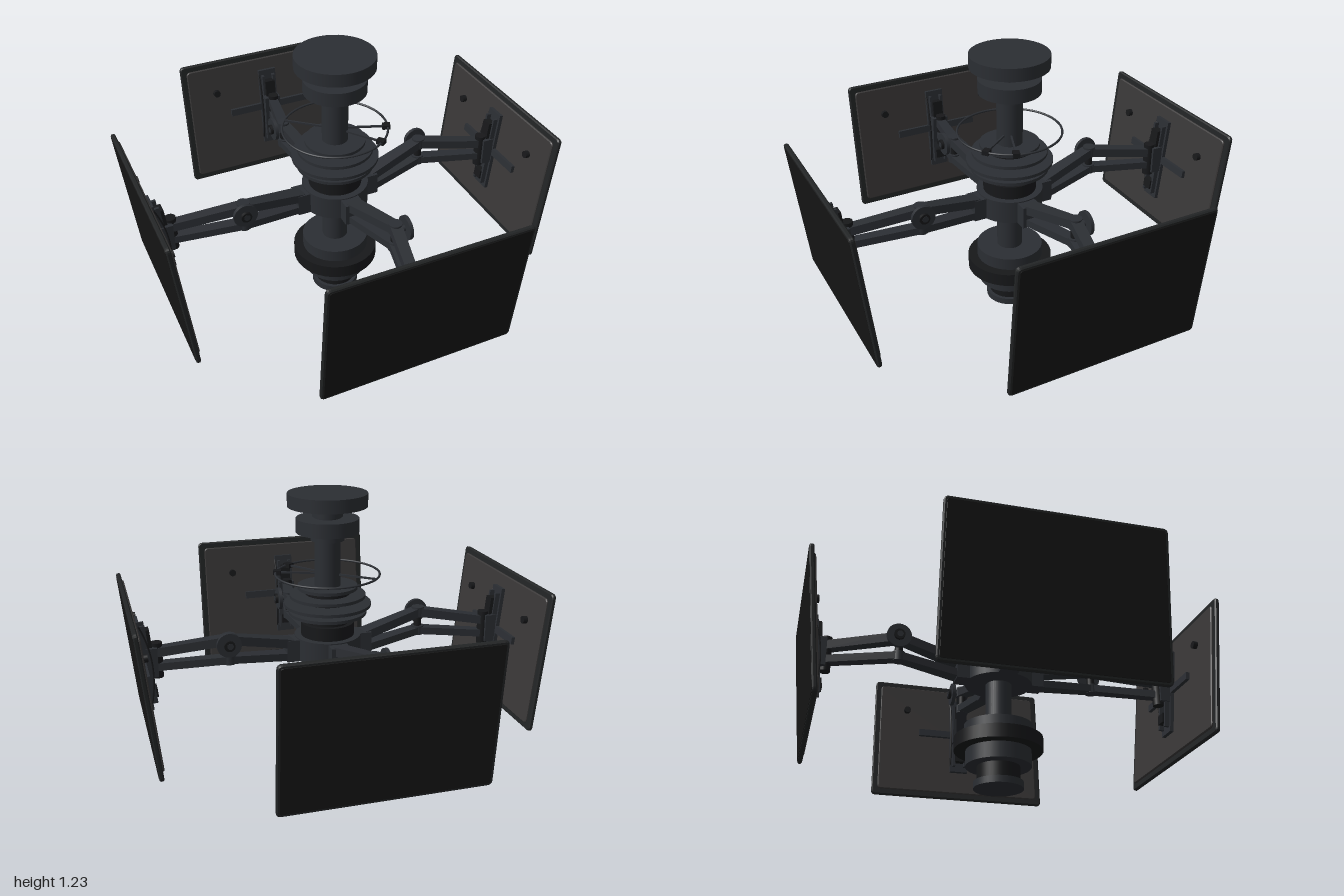
import * as THREE from 'three';

const mat = (color) => new THREE.MeshStandardMaterial({ color });
const metal = mat(0x2b2e33), dark = mat(0x17181a), back = mat(0x3a3838), screenMat = mat(0x161616), frameMat = mat(0x222425);

function add(parent, name, geo, material, x = 0, y = 0, z = 0) {
  const m = new THREE.Mesh(geo, material);
  m.name = name;
  m.position.set(x, y, z);
  parent.add(m);
  return m;
}
const box = (w, h, d) => new THREE.BoxGeometry(w, h, d);
const cyl = (r, h, r2 = r, n = 40) => new THREE.CylinderGeometry(r2, r, h, n);

// Upright disc given by its radius and its bottom and top heights
function disc(parent, name, r, y0, y1, material = metal, r2 = r) {
  return add(parent, name, cyl(r, y1 - y0, r2), material, 0, (y0 + y1) / 2, 0);
}

// Tapered bar between two points
function beam(parent, name, a, b, w0, w1, h) {
  const len = a.distanceTo(b);
  const geo = box(1, h, len);
  const p = geo.attributes.position;
  for (let i = 0; i < p.count; i++) p.setX(i, p.getX(i) * (p.getZ(i) < 0 ? w0 : w1));
  geo.computeVertexNormals();
  const m = add(parent, name, geo, metal);
  m.position.copy(a).add(b).multiplyScalar(0.5);
  m.lookAt(b);
  return m;
}

// Rounded slab with bevelled edges, centred on z
function slab(w, h, d, r, bevel) {
  const x = w / 2 - bevel, y = h / 2 - bevel, s = new THREE.Shape();
  s.moveTo(-x + r, -y);
  s.lineTo(x - r, -y).quadraticCurveTo(x, -y, x, -y + r);
  s.lineTo(x, y - r).quadraticCurveTo(x, y, x - r, y);
  s.lineTo(-x + r, y).quadraticCurveTo(-x, y, -x, y - r);
  s.lineTo(-x, -y + r).quadraticCurveTo(-x, -y, -x + r, -y);
  const geo = new THREE.ExtrudeGeometry(s, {
    depth: d - 2 * bevel, bevelEnabled: true, bevelThickness: bevel, bevelSize: bevel, bevelSegments: 1, curveSegments: 4,
  });
  geo.translate(0, 0, -d / 2 + bevel);
  return geo;
}

function makePanel() {
  const g = new THREE.Group();
  g.name = 'screenPanel';
  add(g, 'frame', slab(0.886, 0.642, 0.02, 0.015, 0.005), frameMat);
  add(g, 'screen', slab(0.862, 0.618, 0.004, 0.01, 0.001), screenMat, 0, 0, 0.0095);
  add(g, 'backCover', slab(0.83, 0.585, 0.012, 0.015, 0.004), back, 0, 0, -0.012);
  for (const s of [-1, 1]) {
    const knob = add(g, 'backKnob', cyl(0.017, 0.022, 0.017, 16), dark, s * 0.275, 0.155, -0.027);
    knob.rotation.x = Math.PI / 2;
  }
  // Wall-style mount on the back
  add(g, 'mountPlate', box(0.09, 0.41, 0.018), metal, 0, 0.025, -0.026);
  add(g, 'mountCrossbar', box(0.42, 0.035, 0.016), metal, 0, 0.03, -0.028);
  for (const s of [-1, 1]) add(g, 'mountRail', box(0.012, 0.36, 0.03), metal, s * 0.028, 0.025, -0.042);
  add(g, 'mountHead', box(0.05, 0.1, 0.045), dark, 0, 0.13, -0.05);
  add(g, 'mountFoot', box(0.05, 0.045, 0.035), dark, 0, -0.11, -0.047);
  const bow = new THREE.QuadraticBezierCurve3(
    new THREE.Vector3(0.045, 0.21, -0.03), new THREE.Vector3(0.045, 0.04, -0.09), new THREE.Vector3(0.045, -0.15, -0.03));
  add(g, 'mountCable', new THREE.TubeGeometry(bow, 16, 0.004, 6), dark);
  g.position.set(0, 0.5, 0.852);
  g.rotation.x = 0.102;
  return g;
}

function makeArm() {
  const g = new THREE.Group();
  g.name = 'arm';
  const v = (x, y, z) => new THREE.Vector3(x, y, z);
  add(g, 'hubBracket', box(0.085, 0.1, 0.07), metal, 0.005, 0.53, 0.165);
  // Upper and lower links, each bent at the elbow
  for (const [y0, y1, y2, h] of [[0.56, 0.625, 0.575, 0.04], [0.5, 0.535, 0.51, 0.034]]) {
    const elbow = v(0.064, y1, 0.464);
    beam(g, 'innerLink', v(0.007, y0, 0.17), elbow, 0.068, 0.052, h);
    beam(g, 'outerLink', elbow, v(-0.005, y2, 0.79), 0.052, 0.045, h);
    add(g, 'elbowPin', cyl(0.029, h + 0.008, 0.029, 20), metal, 0.064, y1, 0.464);
  }
  add(g, 'elbowPost', cyl(0.018, 0.1, 0.018, 16), dark, 0.064, 0.58, 0.464);
  // Clamp wheel beside the elbow
  const shaft = add(g, 'wheelShaft', cyl(0.014, 0.07, 0.014, 16), metal, 0.1, 0.615, 0.47);
  const wheel = add(g, 'clampWheel', cyl(0.054, 0.016, 0.054, 28), metal, 0.112, 0.615, 0.472);
  const cap = add(g, 'wheelCap', cyl(0.024, 0.014, 0.024, 16), dark, 0.126, 0.615, 0.472);
  for (const m of [shaft, wheel, cap]) m.rotation.z = Math.PI / 2;
  add(g, 'wristBlock', box(0.08, 0.13, 0.05), metal, 0, 0.54, 0.795);
  add(g, 'wristPin', cyl(0.025, 0.16, 0.025, 16), dark, -0.003, 0.54, 0.77);
  return g;
}

export function createModel() {
  const root = new THREE.Group();
  root.name = 'hangingScreenCluster';

  // Central column with ceiling mount
  const column = new THREE.Group();
  column.name = 'column';
  root.add(column);
  disc(column, 'pole', 0.058, 0.08, 1.18);
  disc(column, 'ceilingPlate', 0.176, 1.17, 1.228);
  disc(column, 'upperCollar', 0.068, 1.125, 1.155);
  disc(column, 'upperFlange', 0.139, 1.055, 1.118);
  disc(column, 'lowerCollar', 0.075, 1.02, 1.042);

  // Stacked hub rings and the arm hub
  const hub = new THREE.Group();
  hub.name = 'hub';
  root.add(hub);
  for (const [r, y] of [[0.135, 0.806], [0.17, 0.768], [0.195, 0.728], [0.175, 0.69]]) disc(hub, 'hubRing', r, y - 0.007, y + 0.007);
  disc(hub, 'hubCore', 0.1, 0.63, 0.81, dark);
  disc(hub, 'hubNeck', 0.12, 0.58, 0.645, dark);
  disc(hub, 'armHub', 0.15, 0.48, 0.585);

  // Stepped base
  const base = new THREE.Group();
  base.name = 'base';
  root.add(base);
  disc(base, 'baseTop', 0.152, 0.22, 0.285);
  disc(base, 'baseFlange', 0.195, 0.168, 0.228, dark);
  disc(base, 'baseDrum', 0.144, 0.098, 0.17);
  disc(base, 'baseNeck', 0.094, 0.028, 0.1, dark);
  disc(base, 'baseFoot', 0.109, 0, 0.03);

  // Thin hoop on spokes with small clips
  const hoop = new THREE.Group();
  hoop.name = 'hoop';
  hoop.position.y = 0.866;
  root.add(hoop);
  add(hoop, 'hoopRing', new THREE.TorusGeometry(0.232, 0.005, 8, 64), metal).rotation.x = Math.PI / 2;
  for (const a of [0.22, 0.79, 3.6]) {
    const spoke = new THREE.Group();
    spoke.name = 'hoopSpoke';
    spoke.rotation.y = a;
    add(spoke, 'rod', box(0.008, 0.008, 0.19), metal, 0, 0, 0.14);
    if (a < 3) add(spoke, 'clip', box(0.03, 0.02, 0.035), dark, 0, 0, 0.225);
    hoop.add(spoke);
  }

  // Four identical screens on arms around the column
  for (let i = 0; i < 4; i++) {
    const unit = new THREE.Group();
    unit.name = 'screenUnit';
    unit.add(makeArm(), makePanel());
    unit.rotation.y = -THREE.MathUtils.degToRad(24) + i * Math.PI / 2;
    root.add(unit);
  }
  return root;
}
